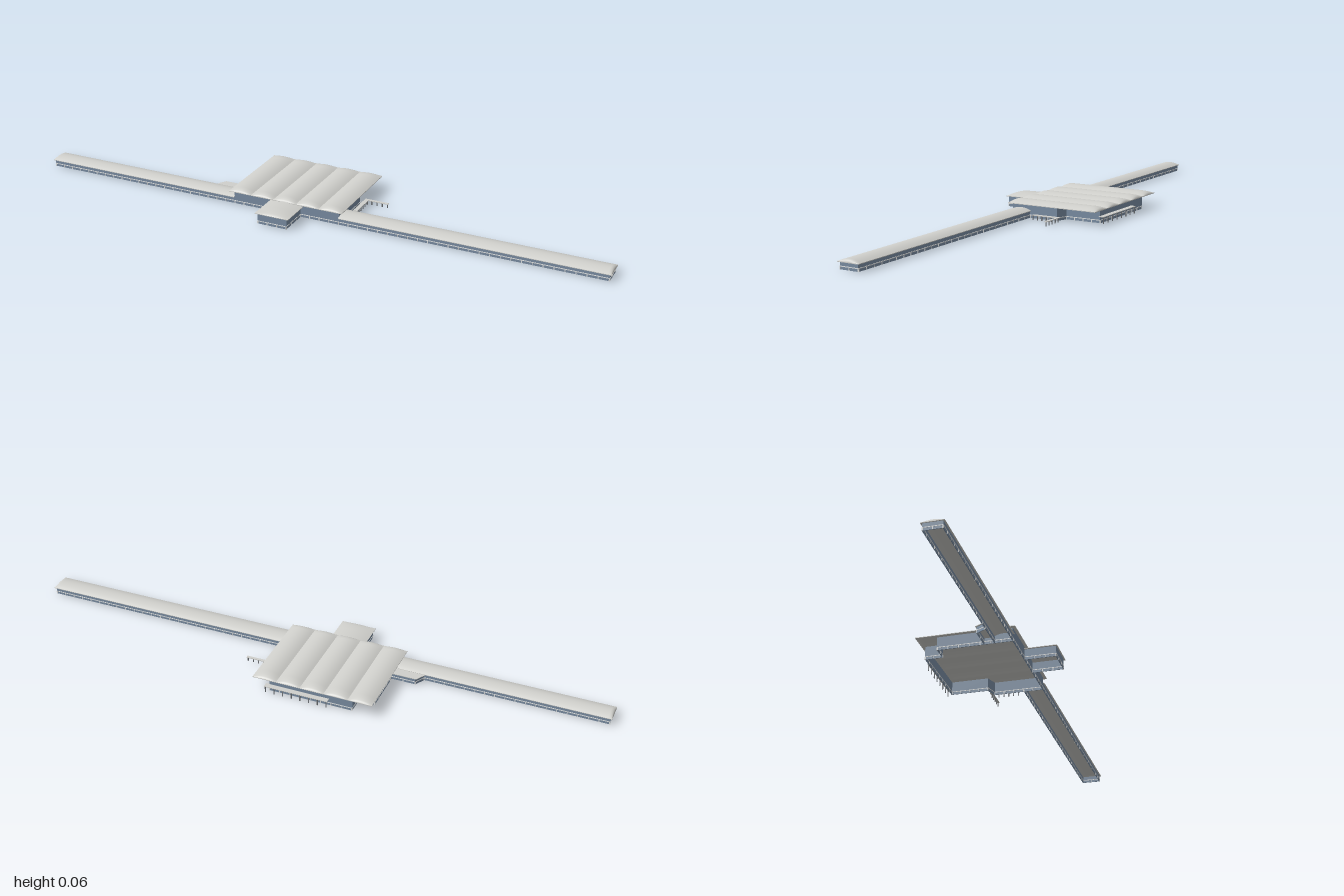
import * as THREE from 'three';
import { mergeGeometries } from 'three/addons/utils/BufferGeometryUtils.js';

const material = (name, color) => {
  const m = new THREE.MeshStandardMaterial({ color, side: THREE.DoubleSide });
  m.name = name;
  return m;
};

export function createModel() {
  const group = new THREE.Group();
  const roofGrey = material('roof grey', 0xd0d0cc);
  const glassBlue = material('glass blue', 0x7c90a6);
  const trimWhite = material('trim white', 0xe4e6e6);
  const steel = material('dark steel', 0x777b80);

  const add = (name, geometry, mat) => {
    const mesh = new THREE.Mesh(geometry, mat);
    mesh.name = name;
    group.add(mesh);
    return mesh;
  };
  const box = (w, h, d, x, y, z) => new THREE.BoxGeometry(w, h, d).translate(x, y, z);

  // Thin vaulted shell along z; hips are the lengths over which each end curves down.
  function vault(width, length, rise, hipStart, hipEnd) {
    const t = 0.002, ease = [0, 0.06, 0.2, 0.5, 1];
    const stations = [
      ...ease.map(e => -length / 2 + e * hipStart),
      ...ease.slice().reverse().map(e => length / 2 - e * hipEnd)
    ];
    const drop = (d, hip) => hip > 0 && d < hip ? Math.sqrt(Math.max(0, 1 - (1 - d / hip) ** 2)) : 1;
    const g = new THREE.BoxGeometry(width, t, length, 12, 1, 9);
    const p = g.attributes.position;
    for (let i = 0; i < p.count; i++) {
      const z = stations[Math.round((p.getZ(i) / length + 0.5) * 9)];
      const u = 2 * p.getX(i) / width;
      const end = drop(z + length / 2, hipStart) * drop(length / 2 - z, hipEnd);
      p.setY(i, p.getY(i) + t / 2 + (rise - t) * (1 - u * u) * end);
      p.setZ(i, z);
    }
    g.computeVertexNormals();
    return g;
  }

  // Walls along a plan outline, with a white sill band and mullions below it.
  function walls(name, points, height) {
    const panes = [], trim = [];
    for (let i = 0; i < points.length - 1; i++) {
      const [ax, az] = points[i], [bx, bz] = points[i + 1];
      const len = Math.hypot(bx - ax, bz - az);
      const place = g => g.rotateY(-Math.atan2(bz - az, bx - ax)).translate((ax + bx) / 2, 0, (az + bz) / 2);
      panes.push(place(box(len, height, 0.002, 0, height / 2, 0)));
      trim.push(place(box(len, 0.0025, 0.004, 0, 0.0095, 0)));
      const n = Math.max(1, Math.round(len / 0.034));
      for (let k = 0; k <= n; k++) {
        trim.push(place(box(0.0025, 0.0085, 0.004, -len / 2 + k * len / n, 0.00425, 0)));
      }
    }
    add(name + 'Walls', mergeGeometries(panes), glassBlue);
    add(name + 'Trim', mergeGeometries(trim), trimWhite);
  }

  // Flat walkway cover on posts.
  function canopy(name, x0, x1, z0, z1, y, posts) {
    add(name + 'Roof', box(x1 - x0, 0.002, z1 - z0, (x0 + x1) / 2, y - 0.001, (z0 + z1) / 2), roofGrey);
    add(name + 'Posts', mergeGeometries(posts.map(([x, z]) => box(0.003, y - 0.002, 0.003, x, y / 2 - 0.001, z))), steel);
  }

  // Main hall: stepped plan under five parallel vaults
  walls('hall', [
    [-0.28, 0.107], [0.1, 0.107], [0.1, -0.06], [0.06, -0.072], [0.06, -0.198],
    [-0.225, -0.198], [-0.225, -0.14], [-0.28, -0.14], [-0.28, 0.107]
  ], 0.045);
  const bays = 5, bayWidth = 0.411 / bays;
  for (let i = 0; i < bays; i++) {
    add('hallVault' + (i + 1), vault(bayWidth, 0.328, 0.0125, 0.035, 0.025), roofGrey)
      .position.set(-0.296 + (i + 0.5) * bayWidth, 0.044, -0.046);
  }

  // Entrance hall in front
  walls('entrance', [[-0.139, 0.107], [-0.139, 0.211], [-0.037, 0.211], [-0.037, 0.107]], 0.036);
  add('entranceVault', vault(0.12, 0.115, 0.011, 0, 0.05), roofGrey).position.set(-0.088, 0.035, 0.159);

  // Long concourse arms on either side
  for (const [name, inner, outer, back] of [['leftArm', 0.1, 1, 0.038], ['rightArm', -0.28, -1, 0.043]]) {
    const s = Math.sign(outer), tip = outer - s * 0.006;
    walls(name, [[inner, 0.107], [tip, 0.107], [tip, back + 0.005], [inner, back + 0.005]], 0.023);
    const length = Math.abs(outer - inner);
    const roof = add(name + 'Roof', vault(0.113 - back, length, 0.011, 0, 0.012), roofGrey);
    roof.rotation.y = s * Math.PI / 2;
    roof.position.set((inner + outer) / 2, 0.022, (0.113 + back) / 2);
  }

  // Low annex behind the right arm
  walls('annex', [[-0.38, 0.045], [-0.362, 0.014], [-0.28, 0.014]], 0.021);
  const plan = new THREE.Shape([[-0.387, 0.046], [-0.366, 0.01], [-0.28, 0.01], [-0.28, 0.046]]
    .map(([x, z]) => new THREE.Vector2(x, -z)));
  add('annexRoof', new THREE.ExtrudeGeometry(plan, { depth: 0.002, bevelEnabled: false })
    .rotateX(-Math.PI / 2).translate(0, 0.021, 0), roofGrey);

  // Covered walkways at the side and the rear
  const row = (n, f) => Array.from({ length: n }, (_, i) => f(i / (n - 1)));
  canopy('sideWalk', 0.112, 0.126, -0.07, 0.02, 0.016, row(6, t => [0.123, 0.017 - 0.085 * t]));
  canopy('sideArm', 0.112, 0.197, -0.08, -0.07, 0.016, row(5, t => [0.118 + 0.075 * t, -0.075]));
  canopy('rearWalk', -0.147, 0.072, -0.217, -0.198, 0.024, row(8, t => [-0.143 + 0.211 * t, -0.214]));

  return group;
}
